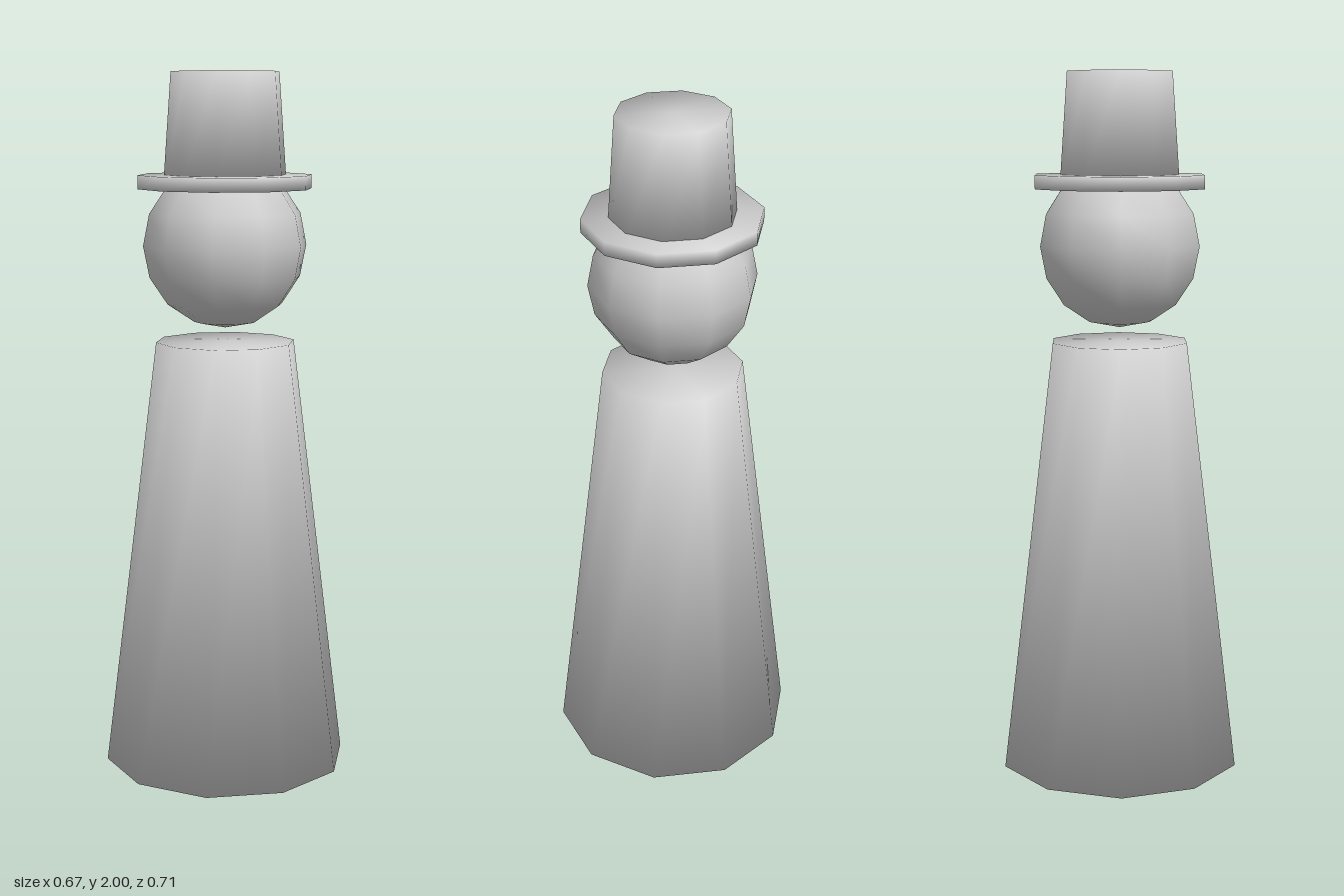
import * as THREE from 'three';

const SIDES = 10;
const material = new THREE.MeshStandardMaterial({ color: 0xcccccc });

// Closed frustum from y0 to y1 whose normals blend softly around its rims
function frustum(name, rBottom, rTop, y0, y1) {
  const h = y1 - y0;
  const geometry = new THREE.CylinderGeometry(rTop, rBottom, h, SIDES, 1);
  const { position, normal } = geometry.attributes;
  const slope = Math.atan2(rBottom - rTop, h);
  for (let i = 0; i < position.count; i++) {
    const x = position.getX(i), y = position.getY(i), z = position.getZ(i);
    const r = Math.hypot(x, z);
    // rim normal: side direction plus cap direction
    const out = Math.cos(slope), up = Math.sin(slope) + Math.sign(y);
    const len = Math.hypot(out, up);
    if (r < 1e-6) normal.setXYZ(i, 0, up / len, 0);
    else normal.setXYZ(i, (x / r) * out / len, up / len, (z / r) * out / len);
  }
  const mesh = new THREE.Mesh(geometry, material);
  mesh.name = name;
  mesh.position.y = (y0 + y1) / 2;
  return mesh;
}

export function createModel() {
  const model = new THREE.Group();
  model.name = 'hattedFigure';

  // Tapered body
  model.add(frustum('body', 0.354, 0.2, 0, 1.243));

  // Round head floating just above the body
  const head = new THREE.Mesh(new THREE.SphereGeometry(0.235, SIDES, 8), material);
  head.name = 'head';
  head.position.y = 1.517;
  head.rotation.y = Math.PI / 2;
  model.add(head);

  // Top hat
  const hat = new THREE.Group();
  hat.name = 'hat';
  hat.add(frustum('hatBrim', 0.249, 0.249, 1.676, 1.715));
  hat.add(frustum('hatCrown', 0.176, 0.154, 1.69, 2));
  model.add(hat);

  return model;
}
